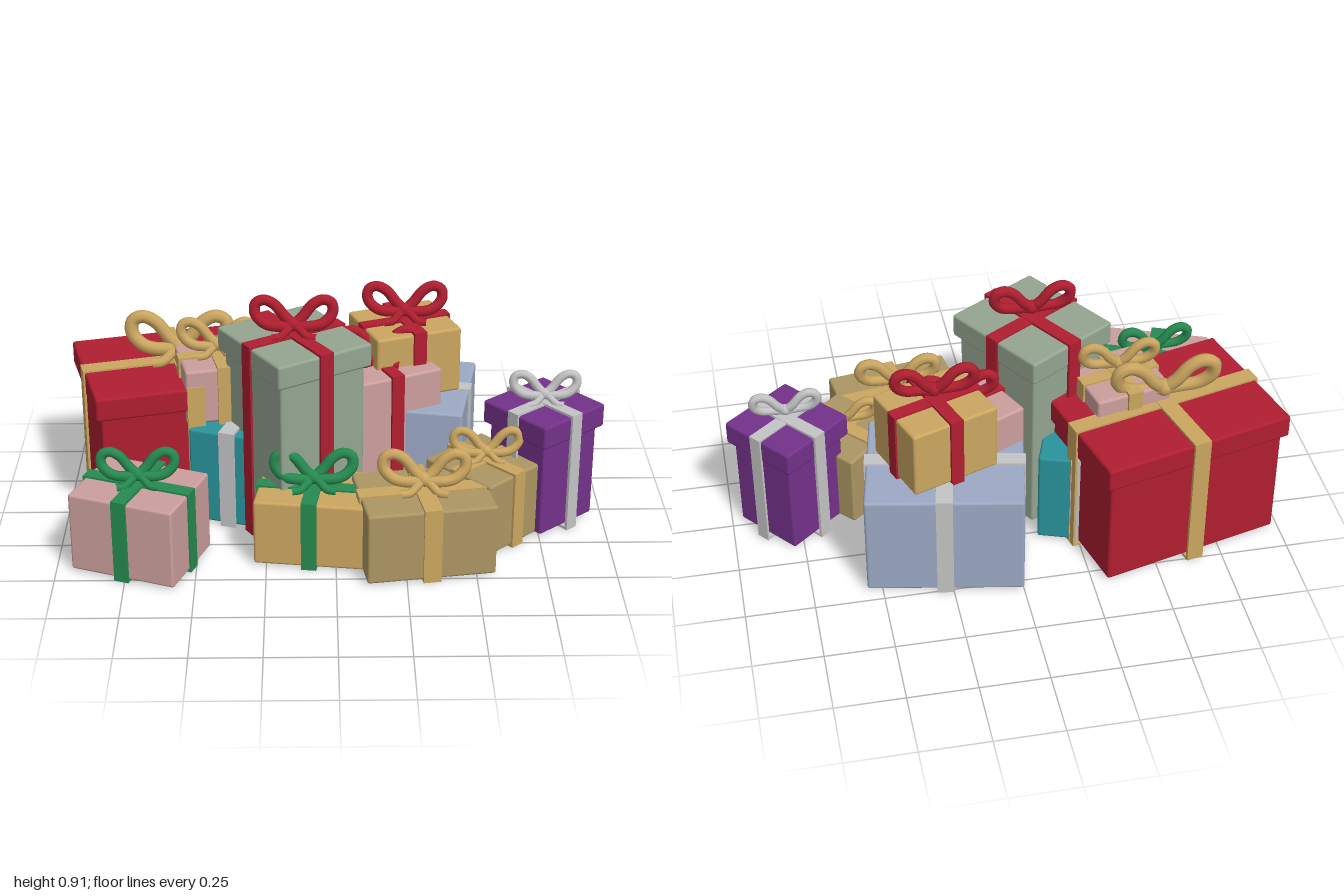
import * as THREE from 'three';
import { RoundedBoxGeometry } from 'three/addons/geometries/RoundedBoxGeometry.js';

const COLORS = {
  red: 0xb01e30, gold: 0xcba660, pink: 0xcc9f9d, sage: 0x94a591, teal: 0x2a939c,
  blue: 0x9ca9c4, purple: 0x74318a, khaki: 0xac9663, green: 0x268a50, silver: 0xc4c4c6,
};

// x, z, turn, width, depth, base, top, box colour, ribbon colour, lid height, bow scale, ribbon width
const GIFTS = [
  ['largeRedGift', -0.577, -0.23, 0.257, 0.735, 0.547, 0.01, 0.53, 'red', 'gold', 0.09, 1.28, 0.065],
  ['smallPinkGift', -0.43, -0.12, 0.22, 0.29, 0.275, 0.39, 0.6, 'pink', 'gold', 0, 0.95, 0.055],
  ['tealGift', -0.32, -0.11, -0.33, 0.3, 0.465, 0.01, 0.38, 'teal', 'silver', 0, 0, 0.06],
  ['tallSageGift', -0.147, 0.06, 0.56, 0.39, 0.43, 0.01, 0.755, 'sage', 'red', 0.09, 1, 0.055],
  ['middlePinkGift', 0.165, -0.14, 0.44, 0.37, 0.31, 0.01, 0.555, 'pink', 'red', 0, 0.95, 0.05],
  ['blueGift', 0.235, -0.265, -0.18, 0.565, 0.48, 0.01, 0.41, 'blue', 'silver', 0, 0, 0.06],
  ['stackedGoldGift', 0.265, -0.257, 0.357, 0.337, 0.295, 0.42, 0.675, 'gold', 'red', 0, 1, 0.05],
  ['purpleGift', 0.77, 0.017, 0.7, 0.315, 0.315, 0.01, 0.462, 'purple', 'silver', 0.09, 0.83, 0.05],
  ['frontKhakiGift', 0.313, 0.353, 0.155, 0.465, 0.335, 0.01, 0.28, 'khaki', 'gold', 0, 1.05, 0.065],
  ['rightKhakiGift', 0.55, 0.145, 0.75, 0.3, 0.32, 0.01, 0.293, 'khaki', 'gold', 0, 0.85, 0.055],
  ['frontGoldGift', -0.078, 0.29, -0.14, 0.4, 0.28, 0.01, 0.26, 'gold', 'green', 0, 1, 0.055],
  ['leftPinkGift', -0.7, 0.35, -0.37, 0.4, 0.325, 0.01, 0.31, 'pink', 'green', 0, 0.93, 0.055],
];

const v3 = (x, y, z) => new THREE.Vector3(x, y, z);

function add(parent, name, geometry, material) {
  const mesh = new THREE.Mesh(geometry, material);
  mesh.name = name;
  parent.add(mesh);
  return mesh;
}

// Rectangular band wrapped around a box, running along x
function ribbonBand(length, base, top, width, t) {
  const rect = (path, hw, y0, y1) =>
    path.moveTo(-hw, y0).lineTo(hw, y0).lineTo(hw, y1).lineTo(-hw, y1).closePath();
  const shape = new THREE.Shape();
  rect(shape, length / 2 + t, base - t, top + t);
  const hole = new THREE.Path();
  rect(hole, length / 2 - 0.002, base + 0.002, top - 0.002);
  shape.holes.push(hole);
  const g = new THREE.ExtrudeGeometry(shape, { depth: width, bevelEnabled: false });
  return g.translate(0, 0, -width / 2);
}

// Teardrop loop of flattened ribbon on one side of the knot
function bowLoop(side) {
  const pts = [
    [0.01, 0.045, 0.01], [0.055, 0.04, 0.018], [0.105, 0.05, 0.012], [0.138, 0.085, 0],
    [0.134, 0.122, -0.006], [0.105, 0.134, -0.006], [0.07, 0.118, -0.004], [0.035, 0.075, 0],
  ].map(([x, y, z]) => v3(x * side, y, z));
  return new THREE.TubeGeometry(new THREE.CatmullRomCurve3(pts, true), 40, 0.02, 8, true);
}

// Tapered tail falling forward from the knot on to the box
function bowTail(side) {
  const curve = new THREE.CatmullRomCurve3([
    v3(0, 0.045, 0.008), v3(0.022 * side, 0.032, 0.03),
    v3(0.05 * side, 0.012, 0.052), v3(0.08 * side, 0.01, 0.06),
  ]);
  const g = new THREE.TubeGeometry(curve, 14, 0.015, 8);
  return g;
}

function createBow(scale, material) {
  const bow = new THREE.Group();
  bow.name = 'bow';
  for (const side of [-1, 1]) {
    const label = side > 0 ? 'left' : 'right';
    add(bow, label + 'BowLoop', bowLoop(side), material);
    add(bow, label + 'BowTail', bowTail(side), material);
  }
  const knot = add(bow, 'bowKnot', new THREE.SphereGeometry(0.026, 16, 12), material);
  knot.position.set(0, 0.045, 0.01);
  bow.scale.set(scale, scale, scale * 0.9);
  return bow;
}

export function createModel() {
  const model = new THREE.Group();
  model.name = 'giftPile';
  const mats = {};
  for (const [name, color] of Object.entries(COLORS)) {
    mats[name] = new THREE.MeshStandardMaterial({ color });
    mats[name].name = name;
  }

  for (const [name, x, z, turn, w, d, base, top, boxColor, ribbonColor, lid, bowScale, rw] of GIFTS) {
    const gift = new THREE.Group();
    gift.name = name;
    gift.position.set(x, 0, z);
    gift.rotation.y = turn;
    model.add(gift);

    // Box body, set in a little below a lid
    const inset = lid ? 0.04 : 0;
    const bodyTop = lid ? top - lid + 0.02 : top;
    const body = add(gift, 'boxBody',
      new RoundedBoxGeometry(w - inset, bodyTop - base, d - inset, 2, 0.01), mats[boxColor]);
    body.position.y = (base + bodyTop) / 2;
    if (lid) {
      const cover = add(gift, 'boxLid', new RoundedBoxGeometry(w, lid, d, 2, 0.01), mats[boxColor]);
      cover.position.y = top - lid / 2;
    }

    // Crossed ribbons
    add(gift, 'ribbonAcross', ribbonBand(w, base, top, rw, 0.007), mats[ribbonColor]);
    const along = add(gift, 'ribbonAlong', ribbonBand(d, base, top, rw, 0.009), mats[ribbonColor]);
    along.rotation.y = Math.PI / 2;

    // Bows all face the front
    if (bowScale) {
      const bow = createBow(bowScale, mats[ribbonColor]);
      bow.position.y = top;
      bow.rotation.y = -turn;
      gift.add(bow);
    }
  }
  return model;
}
